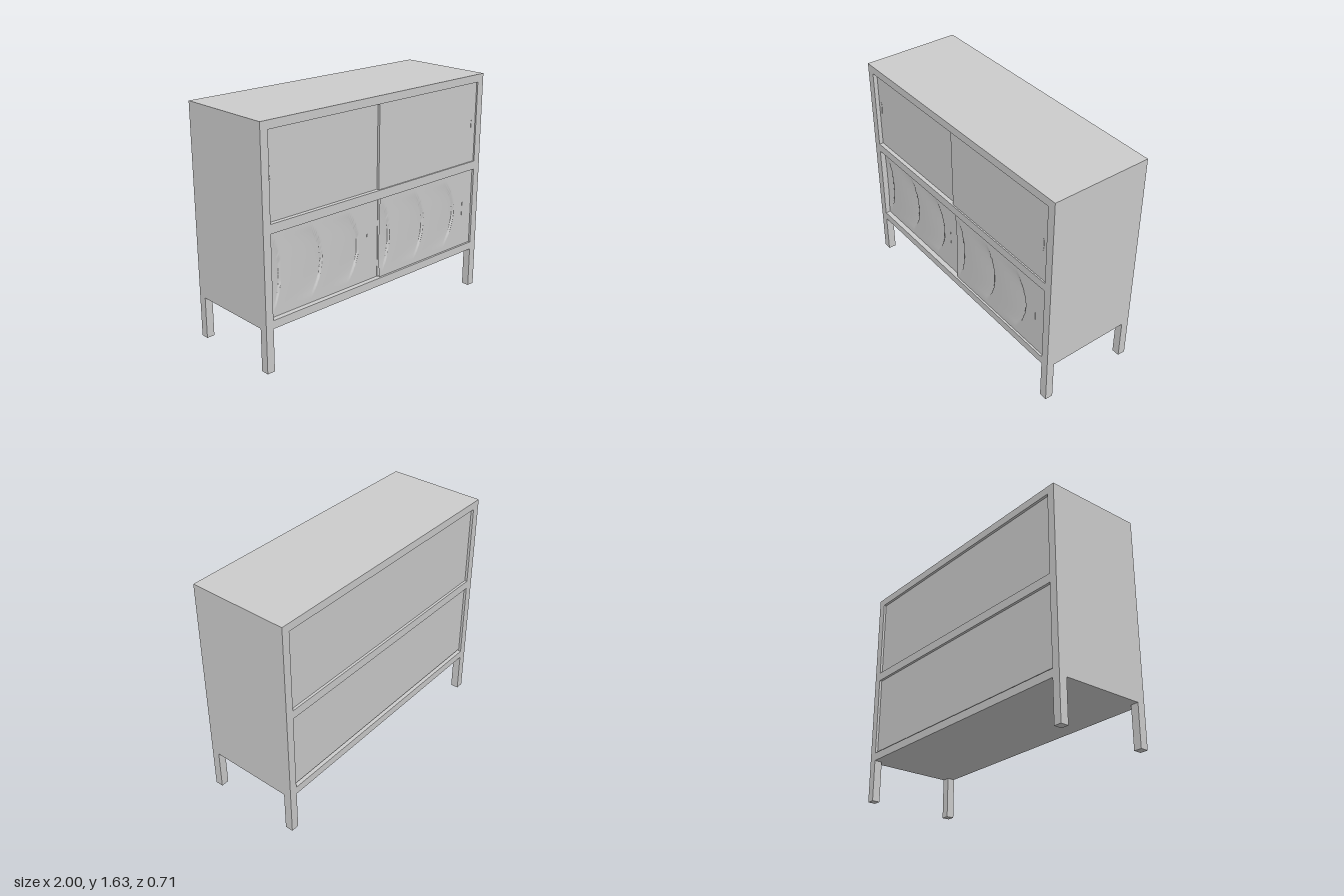
import * as THREE from 'three';

const W = 1, H = 1.627, D = 0.356, T = 0.057, LEG = 0.298;
const IN = W - T;
const UPPER = [0.99, 1.571], LOWER = [0.355, 0.928];
const material = new THREE.MeshStandardMaterial({ color: 0xcccccc, side: THREE.DoubleSide });

function add(parent, name, geometry, x = 0, y = 0, z = 0) {
  const mesh = new THREE.Mesh(geometry, material);
  mesh.name = name;
  mesh.position.set(x, y, z);
  parent.add(mesh);
}

// Board given by its x range, y range and z range
function board(parent, name, [x0, x1], [y0, y1], [z0, z1]) {
  add(parent, name, new THREE.BoxGeometry(x1 - x0, y1 - y0, z1 - z0),
    (x0 + x1) / 2, (y0 + y1) / 2, (z0 + z1) / 2);
}

function rectangle(Type, x0, x1, y0, y1) {
  return new Type([[x0, y0], [x1, y0], [x1, y1], [x0, y1]].map(p => new THREE.Vector2(...p)));
}

// Sliding door with three shallow scoops, each ending in a crisp curved rim
function carvedDoor(parent, name, [x0, x1], front) {
  const group = new THREE.Group();
  group.name = name;
  parent.add(group);
  const [y0, y1] = LOWER, w = x1 - x0, h = y1 - y0;
  board(group, 'doorPanel', [x0, x1], LOWER, [front - 0.035, front - 0.017]);

  // Each rim: its x from the door's left edge, and how far its ends curve back
  const rims = [[0.093, 0.06], [0.433, 0.09], [0.758, 0.1]], span = 0.26;
  const face = new THREE.PlaneGeometry(w, h, 160, 32);
  const p = face.attributes.position;
  for (let i = 0; i < p.count; i++) {
    const x = p.getX(i) + w / 2, t = p.getY(i) / 0.24;
    let depth = 0;
    for (const [rim, bow] of rims) {
      const u = (x - (rim - bow * t * t) + span) / span;
      if (Math.abs(t) < 1 && u > 0 && u < 1) {
        depth = Math.max(depth, 0.014 * u * u * (1 - t * t));
      }
    }
    p.setZ(i, -depth);
  }
  face.computeVertexNormals();
  add(group, 'carvedFace', face, (x0 + x1) / 2, (y0 + y1) / 2, front);

  // Slim upright finger pull
  board(group, 'fingerPull', [x1 - 0.1, x1 - 0.094], [0.59, 0.69], [front - 0.01, front + 0.002]);
}

// Small leaf-shaped pull on an upper door
function leafPull(parent, x, y, z) {
  const leaf = new THREE.Shape();
  leaf.moveTo(0, -0.045);
  leaf.quadraticCurveTo(0.014, 0.02, 0, 0.045);
  leaf.quadraticCurveTo(-0.014, 0.02, 0, -0.045);
  add(parent, 'leafPull', new THREE.ExtrudeGeometry(leaf,
    { depth: 0.004, bevelEnabled: false, curveSegments: 8 }), x, y, z);
}

export function createModel() {
  const model = new THREE.Group();
  model.name = 'sideboard';

  // Carcass: one frame with an upper and a lower bay
  const outline = rectangle(THREE.Shape, -W, W, LEG, H);
  for (const bay of [UPPER, LOWER]) {
    outline.holes.push(rectangle(THREE.Path, -IN, IN, ...bay));
  }
  add(model, 'carcass', new THREE.ExtrudeGeometry(outline,
    { depth: 2 * D, bevelEnabled: false }), 0, 0, -D);

  // Square legs
  for (const sx of [-1, 1]) {
    for (const sz of [-1, 1]) {
      add(model, 'leg', new THREE.BoxGeometry(T, LEG, T),
        sx * (W - T / 2), LEG / 2, sz * (D - T / 2));
    }
  }

  // Recessed back panels, the lower one held just clear of the floor
  board(model, 'upperBackPanel', [-IN, IN], UPPER, [-D + 0.018, -D + 0.036]);
  board(model, 'lowerBackPanel', [-IN, IN], [LOWER[0] + 0.014, LOWER[1]], [-D + 0.018, -D + 0.036]);

  // Plain sliding doors, one running behind the other
  board(model, 'upperRearDoor', [-IN, 0.02], UPPER, [D - 0.048, D - 0.03]);
  board(model, 'upperFrontDoor', [-0.025, IN], [UPPER[0], UPPER[1] - 0.003], [D - 0.028, D - 0.01]);
  leafPull(model, -0.915, 1.3, D - 0.032);
  leafPull(model, 0.905, 1.265, D - 0.012);

  // Carved sliding doors
  carvedDoor(model, 'lowerRearDoor', [-IN, -0.01], D - 0.036);
  carvedDoor(model, 'lowerFrontDoor', [-0.01, IN], D - 0.015);
  return model;
}
